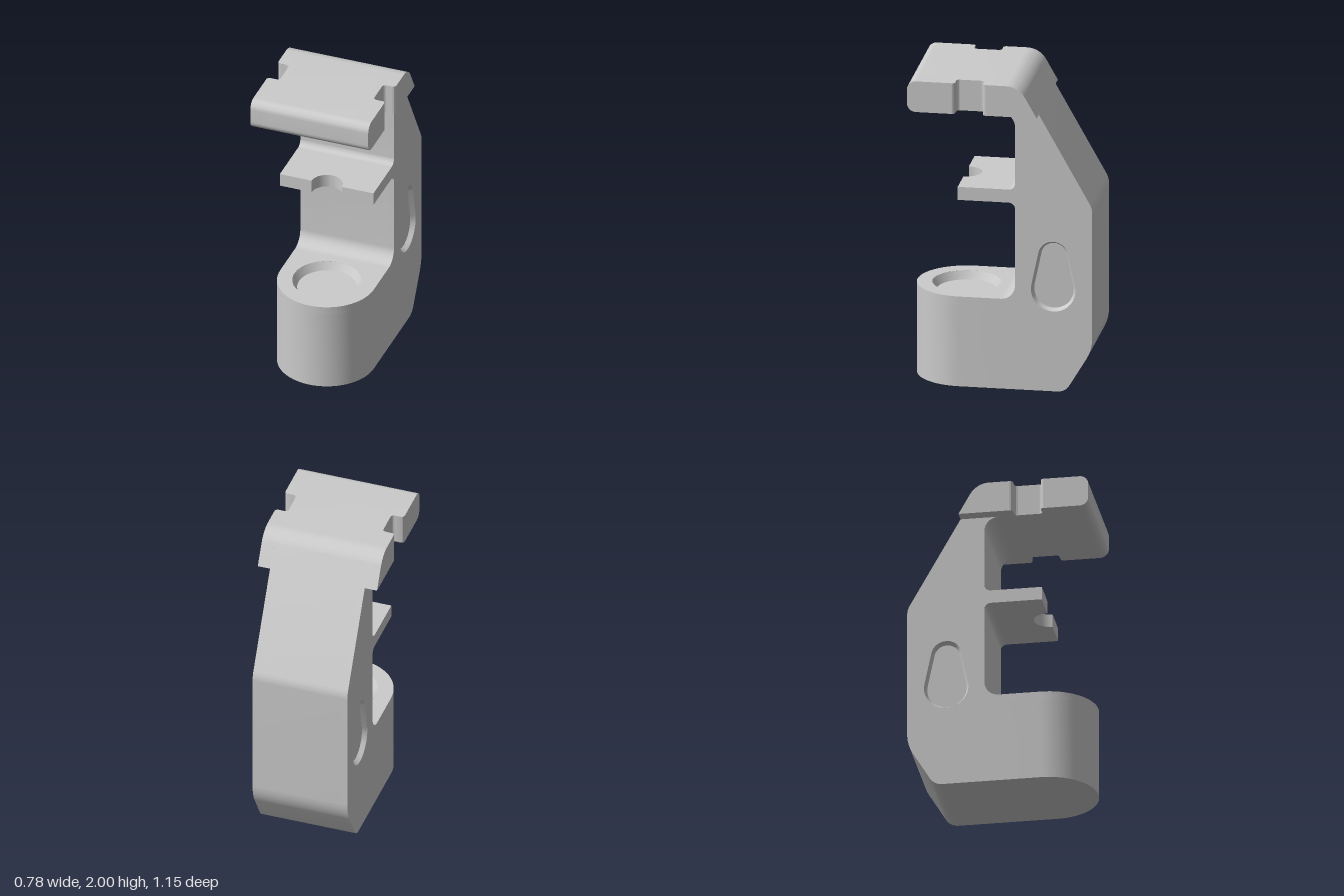
import * as THREE from 'three';
import { toCreasedNormals } from 'three/addons/utils/BufferGeometryUtils.js';

const W = 0.31, FLANGE = 0.39, POCKET = 0.03;

// Closed shape from corners [x, y, t]; t is how far the rounding reaches along both edges.
function roundedShape(corners) {
  const shape = new THREE.Shape();
  const n = corners.length;
  const v = corners.map(([x, y]) => new THREE.Vector2(x, y));
  for (let i = 0; i < n; i++) {
    const p = v[i], t = corners[i][2] || 0;
    const a = v[(i + n - 1) % n].clone().sub(p).normalize();
    const b = v[(i + 1) % n].clone().sub(p).normalize();
    const turn = Math.PI - Math.acos(THREE.MathUtils.clamp(a.dot(b), -1, 1));
    const k = t ? (4 / 3) * Math.tan(turn / 4) / Math.tan(turn / 2) : 0;
    const at = (d, s) => p.clone().addScaledVector(d, s);
    const p0 = at(a, t), p1 = at(a, t * (1 - k)), p2 = at(b, t * (1 - k)), p3 = at(b, t);
    if (i === 0) shape.moveTo(p0.x, p0.y); else shape.lineTo(p0.x, p0.y);
    if (t) shape.bezierCurveTo(p1.x, p1.y, p2.x, p2.y, p3.x, p3.y);
  }
  shape.closePath();
  return shape;
}

const extrude = (shape, depth) =>
  new THREE.ExtrudeGeometry(shape, { depth, bevelEnabled: false, curveSegments: 16 });

// Side profile (-z, y) swept from x0 to x1.
const sweepX = (shape, x0, x1) =>
  extrude(shape, x1 - x0).rotateY(Math.PI / 2).translate(x0, 0, 0);

// Plan outline (x, z) raised from y0 to y1.
const sweepY = (shape, y0, y1) =>
  extrude(shape, y1 - y0).rotateX(Math.PI / 2).translate(0, y1, 0);

// Teardrop outline: hull of a large lower and a small upper circle, shrunk by inset.
function teardrop(inset) {
  const low = { y: 0.66, r: 0.14 }, high = { y: 0.88, r: 0.095 }, pts = [];
  const tilt = Math.asin((low.r - high.r) / (high.y - low.y));
  const arc = (c, from, to) => {
    for (let i = 0; i <= 20; i++) {
      const q = from + (to - from) * i / 20;
      pts.push(new THREE.Vector2(0.33 + Math.cos(q) * (c.r - inset), c.y + Math.sin(q) * (c.r - inset)));
    }
  };
  arc(high, tilt, Math.PI - tilt);
  arc(low, Math.PI - tilt, 2 * Math.PI + tilt);
  return pts;
}

// Sloped wall between the pocket rim and its floor.
function pocketWall(side) {
  const rim = teardrop(0), floor = teardrop(0.016), n = rim.length, pos = [], index = [];
  for (let i = 0; i < n; i++) {
    pos.push(side * W, rim[i].y, -rim[i].x, side * (W - POCKET), floor[i].y, -floor[i].x);
    const a = 2 * i, b = 2 * ((i + 1) % n);
    index.push(a, a + 1, b, b, a + 1, b + 1);
  }
  const g = new THREE.BufferGeometry();
  g.setAttribute('position', new THREE.Float32BufferAttribute(pos, 3));
  g.setIndex(index);
  g.computeVertexNormals();
  return g;
}

export function createModel() {
  const group = new THREE.Group();
  const solid = new THREE.MeshStandardMaterial({ color: 0xcccccc });
  const thin = new THREE.MeshStandardMaterial({ color: 0xcccccc, side: THREE.DoubleSide });
  const add = (name, geometry, material = solid) => {
    const mesh = new THREE.Mesh(toCreasedNormals(geometry, 0.5), material);
    mesh.name = name;
    group.add(mesh);
  };

  // C-shaped frame: column, top plate and rear of the foot
  const profile = () => roundedShape([
    [0, 0], [0.406, 0, 0.05], [0.575, 0.282, 0.075], [0.575, 1.205, 0.035],
    [0.127, 2, 0.08], [-0.575, 2, 0.055], [-0.575, 1.8, 0.055], [0.09, 1.8, 0.09],
    [0.09, 1.3, 0.04], [0.05, 1.3], [0.05, 1.215], [0.09, 1.215, 0.04],
    [0.09, 0.585, 0.09], [0, 0.585],
  ]);
  add('frameCore', sweepX(profile(), -W + POCKET, W - POCKET));

  // Outer layers with the teardrop pockets
  const skin = profile();
  skin.holes.push(new THREE.Path(teardrop(0)));
  for (const side of [-1, 1]) {
    const inner = side * (W - POCKET), outer = side * W;
    const label = side > 0 ? 'left' : 'right';
    add(label + 'FrameSide', sweepX(skin, Math.min(inner, outer), Math.max(inner, outer)));
    add(label + 'PocketWall', pocketWall(side), thin);
  }

  // Foot with rounded front and a shallow round seat
  const footPlan = () => {
    const s = new THREE.Shape();
    s.moveTo(-W, 0);
    s.lineTo(W, 0);
    s.lineTo(W, 0.265);
    s.absarc(0, 0.265, W, 0, Math.PI, false);
    s.closePath();
    return s;
  };
  const rimPlan = footPlan();
  const hole = new THREE.Path();
  hole.absarc(0, 0.265, 0.215, 0, Math.PI * 2, true);
  rimPlan.holes.push(hole);
  add('foot', sweepY(footPlan(), 0, 0.535));
  add('footRim', sweepY(rimPlan, 0.535, 0.585));
  const cone = new THREE.LatheGeometry(
    [new THREE.Vector2(0.185, 0.535), new THREE.Vector2(0.215, 0.585)], 48);
  add('seatWall', cone.translate(0, 0, 0.265), thin);

  // Middle shelf with a half-round notch
  const shelf = new THREE.Shape();
  shelf.moveTo(-W, -0.05);
  shelf.lineTo(W, -0.05);
  shelf.lineTo(W, 0.27);
  shelf.lineTo(0.1, 0.27);
  shelf.absarc(0, 0.27, 0.1, 0, -Math.PI, true);
  shelf.lineTo(-W, 0.27);
  shelf.closePath();
  add('shelf', sweepY(shelf, 1.215, 1.3));

  // Side flanges of the top plate, with a notch between front and rear lengths
  const rear = roundedShape([[0.24, 1.8], [0.127, 2, 0.08], [-0.08, 2], [-0.08, 1.8]]);
  const front = roundedShape([[-0.295, 1.8], [-0.295, 2], [-0.575, 2, 0.055], [-0.575, 1.8, 0.055]]);
  for (const side of [-1, 1]) {
    const x0 = side > 0 ? W : -FLANGE, x1 = side > 0 ? FLANGE : -W;
    const label = side > 0 ? 'left' : 'right';
    add(label + 'RearFlange', sweepX(rear, x0, x1));
    add(label + 'FrontFlange', sweepX(front, x0, x1));
    // Rounded notch walls
    for (const [z, d] of [[0.1, 0.02], [0.275, -0.02]]) {
      const plan = roundedShape([
        [side * W, z - d], [side * FLANGE, z - d], [side * FLANGE, z, 0.02],
        [side * W, z, 0.02], [side * W, z + d],
      ]);
      add(label + 'NotchWall', sweepY(plan, 1.8, 2));
    }
  }
  return group;
}
